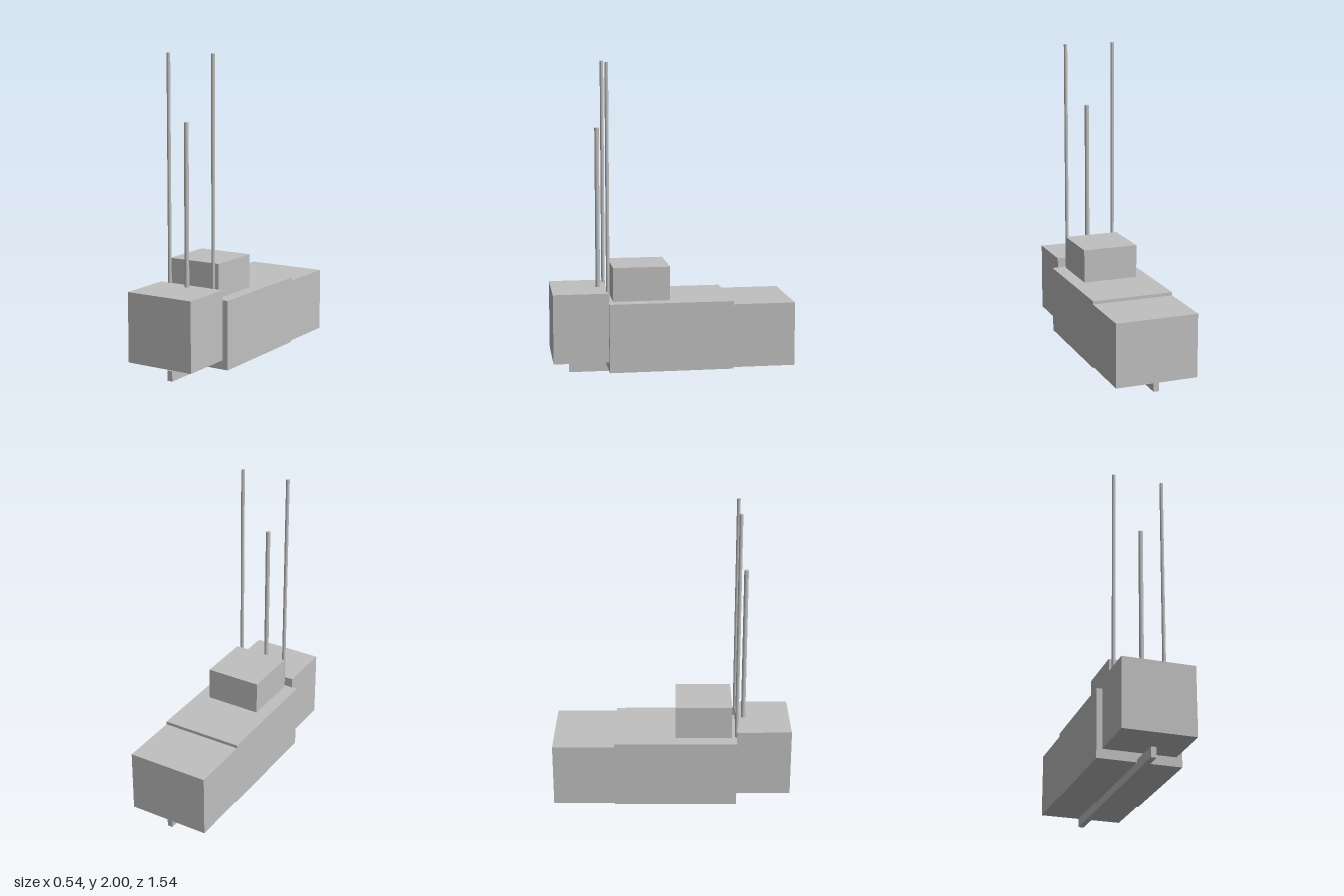
import * as THREE from 'three';

export function createModel() {
  const model = new THREE.Group();
  const grey = new THREE.MeshStandardMaterial({ color: 0xc0c0c0 });
  grey.name = 'plain grey';

  const add = (name, geometry, x, y, z) => {
    const mesh = new THREE.Mesh(geometry, grey);
    mesh.name = name;
    mesh.position.set(x, y, z);
    model.add(mesh);
  };
  // block centred on x = 0, given by its width and its y and z ranges
  const block = (name, width, y0, y1, z0, z1) =>
    add(name, new THREE.BoxGeometry(width, y1 - y0, z1 - z0), 0, (y0 + y1) / 2, (z0 + z1) / 2);
  // upright pole between two heights
  const pole = (name, radius, x, z, y0, y1) =>
    add(name, new THREE.CylinderGeometry(radius, radius, y1 - y0, 12), x, (y0 + y1) / 2, z);

  // hull sections
  block('frontSection', 0.462, 0.111, 0.556, 0.42, 0.772);
  block('middleSection', 0.536, 0.051, 0.492, -0.373, 0.42);
  block('rearSection', 0.536, 0.061, 0.471, -0.772, -0.373);

  // raised cabin and the rail underneath
  block('cabin', 0.364, 0.492, 0.709, 0.024, 0.388);
  block('bottomRail', 0.035, 0, 0.066, -0.758, 0.661);

  // masts: one thick in the middle, two tall and thin at the sides
  pole('centreMast', 0.0145, 0, 0.469, 0.54, 1.583);
  for (const side of [-1, 1]) {
    pole(side > 0 ? 'leftMast' : 'rightMast', 0.0115, side * 0.163, 0.42, 0.47, 2);
  }
  return model;
}
